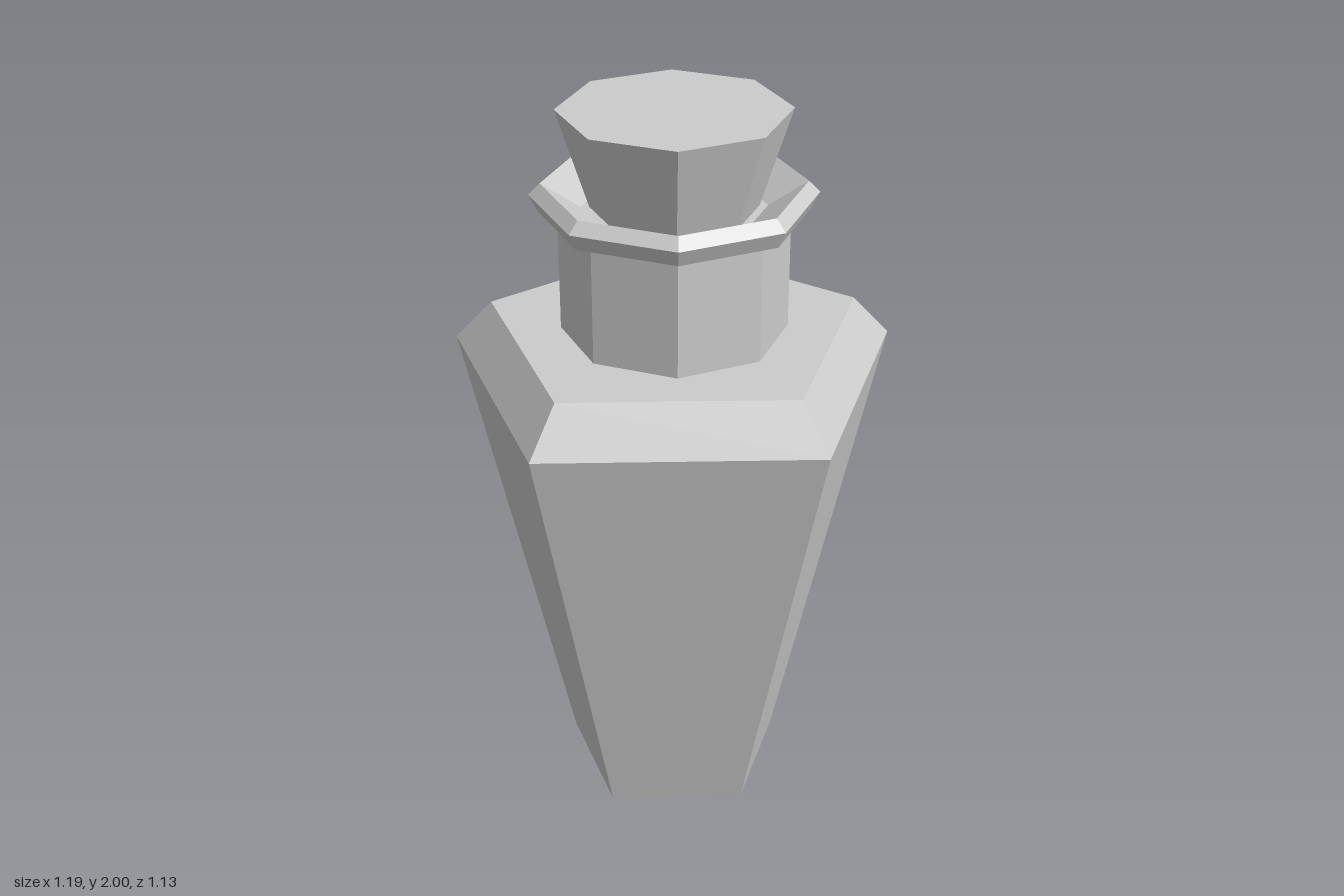
import * as THREE from 'three';

const AXIS_Z = 0.06; // shared axis of all parts

const material = new THREE.MeshStandardMaterial({ color: 0xcccccc, flatShading: true });

// Faceted solid turned from a [radius, height] profile, listed bottom to top on the outside
function facetedPart(name, profile, sides, turn = 0) {
  const points = profile.map(([r, y]) => new THREE.Vector2(r, y));
  const mesh = new THREE.Mesh(new THREE.LatheGeometry(points, sides), material);
  mesh.name = name;
  mesh.position.z = AXIS_Z;
  mesh.rotation.y = turn;
  return mesh;
}

export function createModel() {
  const bottle = new THREE.Group();
  bottle.name = 'bottle';

  // Five-sided tapered body with a bevelled shoulder, one corner to the back
  bottle.add(facetedPart('body',
    [[0, 0], [0.313, 0], [0.627, 1.28], [0.519, 1.4], [0, 1.4]], 5, Math.PI));

  // Eight-sided neck
  bottle.add(facetedPart('neck', [[0.3, 1.4], [0.3, 1.74]], 8));

  // Flared lip, sloping inward to the mouth
  bottle.add(facetedPart('lip',
    [[0.3, 1.73], [0.35, 1.73], [0.372, 1.775], [0.342, 1.805], [0.24, 1.74], [0, 1.74]], 8));

  // Tapered stopper
  bottle.add(facetedPart('stopper', [[0, 1.7], [0.205, 1.7], [0.3, 2], [0, 2]], 8));

  return bottle;
}
